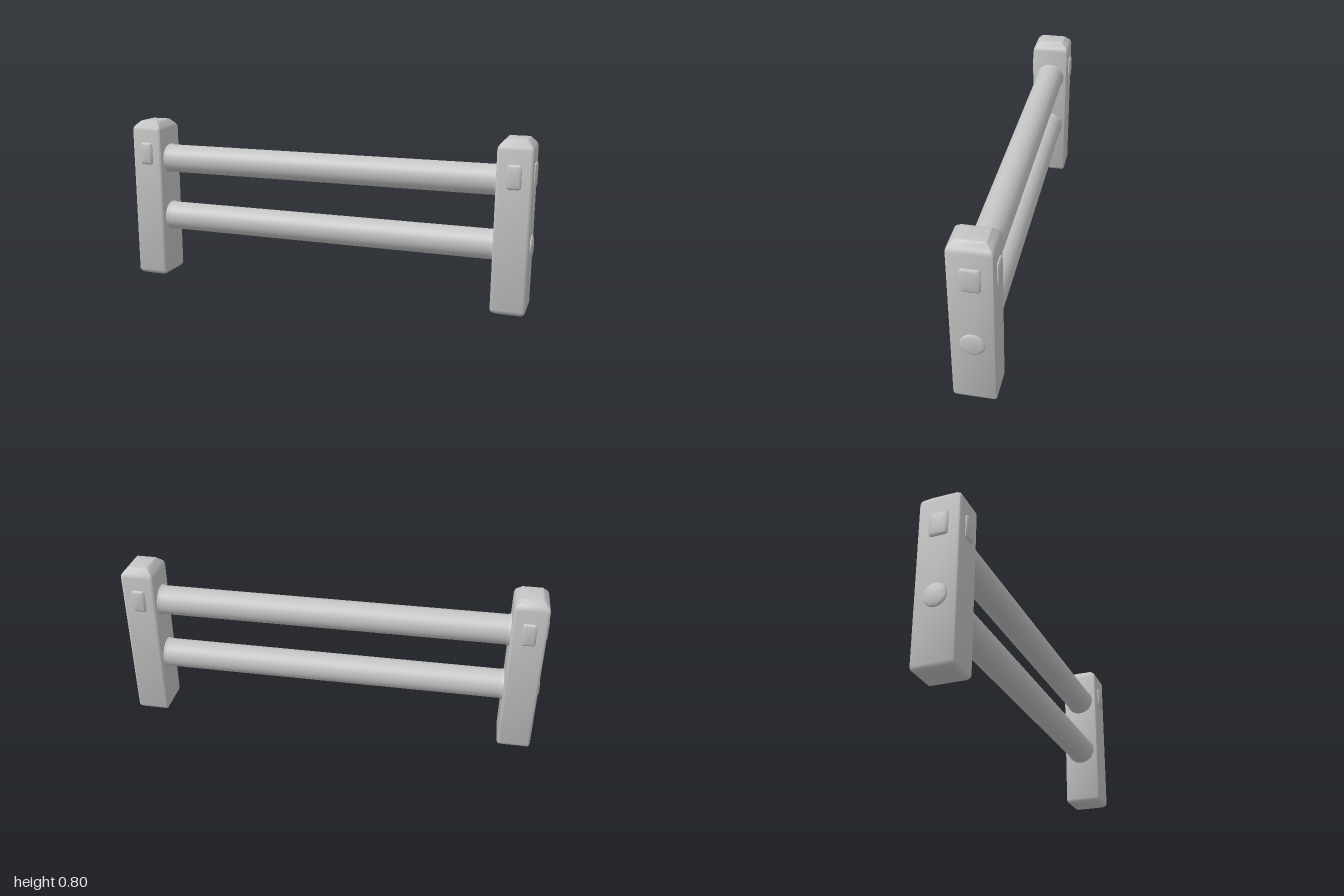
import * as THREE from 'three';
import { toCreasedNormals } from 'three/addons/utils/BufferGeometryUtils.js';

// Rounded-rectangle sections stacked along y; each layer is [height, inset].
function loft(w, d, r, layers, seg = 6) {
  const pos = [], idx = [], n = 4 * (seg + 1);
  for (const [y, inset] of layers) {
    const rr = Math.max(r - inset, 0.004);
    const hx = w / 2 - inset - rr, hz = d / 2 - inset - rr;
    for (let q = 0; q < 4; q++) {
      const sx = q === 0 || q === 3 ? 1 : -1, sz = q < 2 ? 1 : -1;
      for (let k = 0; k <= seg; k++) {
        const a = (q + k / seg) * Math.PI / 2;
        pos.push(sx * hx + rr * Math.cos(a), y, sz * hz + rr * Math.sin(a));
      }
    }
  }
  const last = layers.length - 1;
  for (let j = 0; j < last; j++) {
    for (let i = 0; i < n; i++) {
      const a = j * n + i, b = j * n + (i + 1) % n;
      idx.push(a, a + n, b, b, a + n, b + n);
    }
  }
  // end caps
  pos.push(0, layers[0][0], 0, 0, layers[last][0], 0);
  const c = (last + 1) * n;
  for (let i = 0; i < n; i++) {
    const k = (i + 1) % n;
    idx.push(c, i, k, c + 1, last * n + k, last * n + i);
  }
  const g = new THREE.BufferGeometry();
  g.setAttribute('position', new THREE.Float32BufferAttribute(pos, 3));
  g.setIndex(idx);
  return toCreasedNormals(g, 0.6);
}

export function createModel() {
  const model = new THREE.Group();
  model.name = 'railFence';
  const grey = new THREE.MeshStandardMaterial({ color: 0xc4c4c4 });
  grey.name = 'plain grey';

  const add = (parent, name, geometry, x = 0, y = 0, z = 0) => {
    const mesh = new THREE.Mesh(geometry, grey);
    mesh.name = name;
    mesh.position.set(x, y, z);
    parent.add(mesh);
    return mesh;
  };

  const W = 0.158, D = 0.188;
  const postGeo = loft(W, D, 0.012, [
    [0, 0.024], [0.005, 0.014], [0.013, 0.005], [0.024, 0],
    [0.755, 0], [0.766, 0.003], [0.775, 0.009], [0.793, 0.027], [0.798, 0.031], [0.8, 0.037],
  ]);
  const raised = (w, d, r, h) =>
    loft(w, d, r, [[-0.01, 0], [h * 0.4, 0], [h * 0.8, 0.004], [h, 0.01]], 8);
  const facePlate = raised(0.064, 0.11, 0.012, 0.011).rotateX(Math.PI / 2);
  const sidePlate = raised(0.11, 0.084, 0.012, 0.009).rotateZ(-Math.PI / 2);
  const disc = raised(0.104, 0.104, 0.0515, 0.009).rotateZ(-Math.PI / 2);

  // posts, the second turned half round
  for (const side of [1, -1]) {
    const post = new THREE.Group();
    post.name = side > 0 ? 'leftPost' : 'rightPost';
    post.position.x = side * 0.912;
    if (side < 0) post.rotation.y = Math.PI;
    add(post, 'postBody', postGeo);
    add(post, 'frontPlate', facePlate, 0, 0.638, D / 2);
    add(post, 'backPlate', facePlate, 0, 0.638, -D / 2).rotation.y = Math.PI;
    add(post, 'outerPlate', sidePlate, W / 2, 0.637, 0);
    add(post, 'outerDisc', disc, W / 2, 0.312, 0);
    model.add(post);
  }

  // round rails with a slight flare where they meet the posts
  const half = [[0.0745, 0.84], [0.0745, 0.832], [0.072, 0.826], [0.07, 0.815]];
  const profile = [
    ...half.map(([r, y]) => new THREE.Vector2(r, -y)),
    ...half.slice().reverse().map(([r, y]) => new THREE.Vector2(r, y)),
  ];
  const railGeo = new THREE.LatheGeometry(profile, 48).rotateZ(-Math.PI / 2);
  add(model, 'upperRail', railGeo, 0, 0.605, -0.002);
  add(model, 'lowerRail', railGeo, 0, 0.305, -0.002);

  return model;
}
